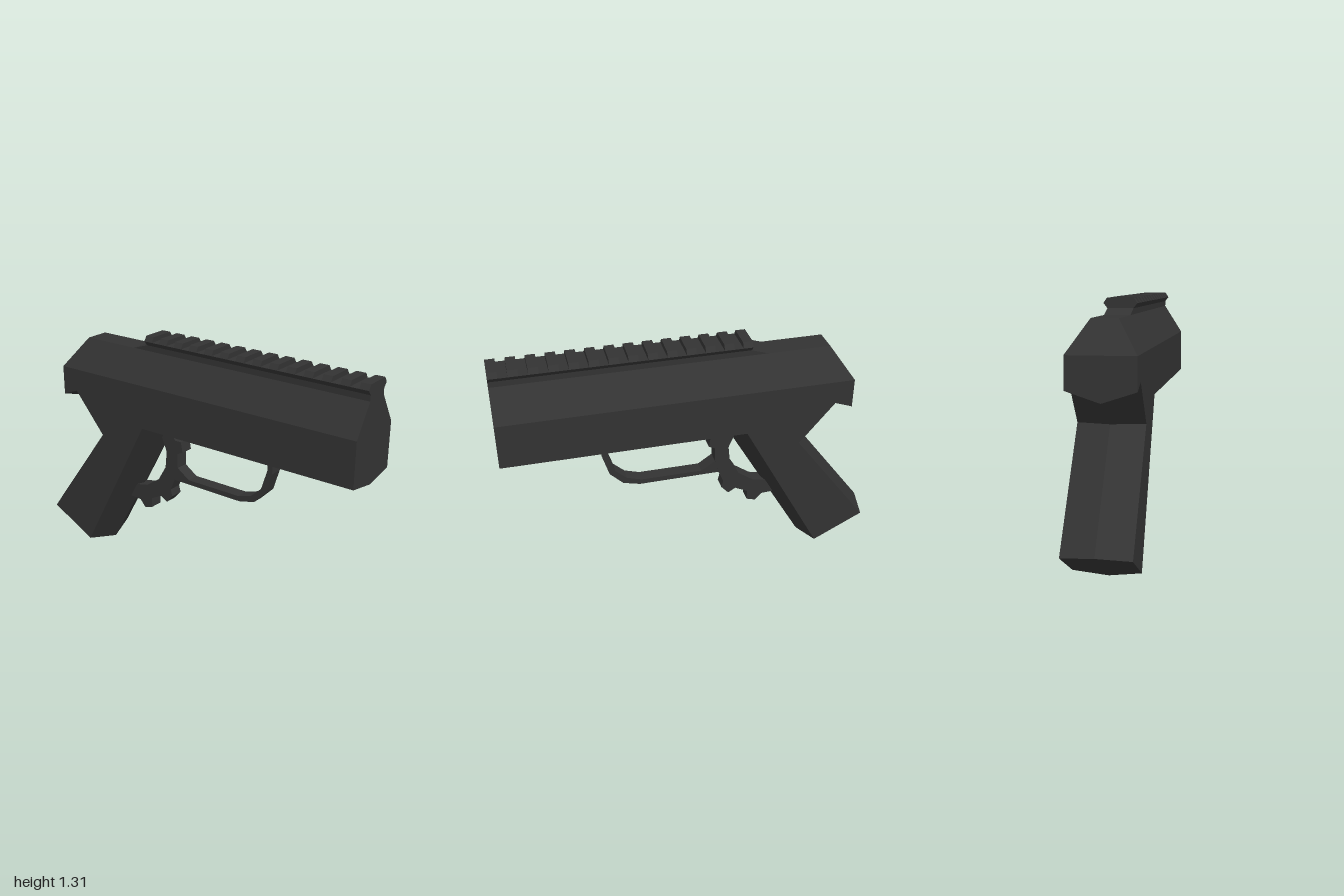
import * as THREE from 'three';

const material = new THREE.MeshStandardMaterial({ color: 0x333333, flatShading: true });

function addMesh(parent, name, geometry) {
  const mesh = new THREE.Mesh(geometry, material);
  mesh.name = name;
  parent.add(mesh);
  return mesh;
}

const toShape = pts => new THREE.Shape(pts.map(p => new THREE.Vector2(p[0], p[1])));

// Side profile (x, y) extruded to a width centred on z = 0
function slab(pts, width) {
  return new THREE.ExtrudeGeometry(toShape(pts), { depth: width, bevelEnabled: false })
    .translate(0, 0, -width / 2);
}

// Cross-section (z, y) extruded along x from x0 to x1
function bar(pts, x0, x1) {
  return new THREE.ExtrudeGeometry(toShape(pts), { depth: x1 - x0, bevelEnabled: false })
    .rotateY(Math.PI / 2).translate(x0, 0, 0);
}

// Skin between matching closed outlines at rising z, capped at both ends
function loft(layers) {
  const n = layers[0].pts.length;
  const positions = layers.flatMap(l => l.pts.flatMap(p => [p[0], p[1], l.z]));
  const index = [];
  for (let k = 0; k < layers.length - 1; k++) {
    for (let i = 0; i < n; i++) {
      const j = (i + 1) % n;
      const a = k * n + i, b = k * n + j;
      index.push(a, b, b + n, a, b + n, a + n);
    }
  }
  const end = layers.length - 1;
  const contour = layers[end].pts.map(p => new THREE.Vector2(p[0], p[1]));
  for (const [a, b, c] of THREE.ShapeUtils.triangulateShape(contour, [])) {
    index.push(c, b, a, end * n + a, end * n + b, end * n + c);
  }
  const g = new THREE.BufferGeometry();
  g.setAttribute('position', new THREE.Float32BufferAttribute(positions, 3));
  g.setIndex(index);
  const flat = g.toNonIndexed();
  flat.computeVertexNormals();
  return flat;
}

export function createModel() {
  const model = new THREE.Group();
  model.name = 'pistol';

  // Body and grip: ridge outline on the centre plane, flat outline on the sides
  const centre = [[-0.73, 1.23], [-0.84, 1.07], [-0.84, 0.855], [-0.73, 0.875], [-0.6, 0.725],
    [-1, 0.19], [-0.65, 0], [-0.19, 0.8], [1, 0.8], [1, 1.07], [1, 1.23]];
  const side = [[-0.84, 1.07], [-0.84, 1.07], [-0.84, 0.91], [-0.745, 0.945], [-0.56, 0.725],
    [-0.97, 0.175], [-0.7, 0.035], [-0.27, 0.83], [1, 0.83], [1, 1.07], [1, 1.07]];
  const topZ = 0.065, sideZ = 0.167, t = topZ / sideZ;
  const shoulder = centre.map((c, i) => (i === 0 || i === centre.length - 1)
    ? c : [c[0] + (side[i][0] - c[0]) * t, c[1] + (side[i][1] - c[1]) * t]);
  addMesh(model, 'bodyAndGrip', loft([
    { z: -sideZ, pts: side }, { z: -topZ, pts: shoulder }, { z: 0, pts: centre },
    { z: topZ, pts: shoulder }, { z: sideZ, pts: side },
  ]));

  // Toothed rail on a ramped base
  const rail = new THREE.Group();
  rail.name = 'topRail';
  model.add(rail);
  addMesh(rail, 'railBase', slab([[-0.4, 1.225], [1, 1.225], [1, 1.262], [-0.3, 1.262], [-0.4, 1.23]], 2 * topZ));
  addMesh(rail, 'railStrip', bar([[-0.065, 1.26], [0.065, 1.26], [0.085, 1.285], [-0.085, 1.285]], -0.31, 1));
  const teeth = 14, toothWidth = 0.05;
  for (let i = 0; i < teeth; i++) {
    const x = -0.31 + i * (1.31 - toothWidth) / (teeth - 1);
    addMesh(rail, 'railTooth',
      bar([[-0.085, 1.285], [0.085, 1.285], [0.067, 1.312], [-0.067, 1.312]], x, x + toothWidth));
  }

  // Curved toothed trigger piece reaching from the body to the grip
  addMesh(model, 'trigger', slab([[-0.245, 0.82], [-0.245, 0.755], [-0.21, 0.67], [-0.22, 0.575],
    [-0.27, 0.49], [-0.355, 0.43], [-0.47, 0.405], [-0.5, 0.33], [-0.41, 0.325], [-0.375, 0.285],
    [-0.325, 0.3], [-0.325, 0.355], [-0.255, 0.39], [-0.215, 0.365], [-0.175, 0.41], [-0.185, 0.45],
    [-0.155, 0.52], [-0.135, 0.595], [-0.135, 0.675], [-0.1, 0.69], [-0.11, 0.75], [-0.15, 0.75],
    [-0.19, 0.81]], 0.074));

  // Guard loop in front of the trigger
  addMesh(model, 'triggerGuard', slab([[0.475, 0.82], [0.445, 0.82], [0.445, 0.73], [0.41, 0.62],
    [0.35, 0.565], [0.27, 0.54], [-0.06, 0.54], [-0.14, 0.595], [-0.16, 0.515], [0.28, 0.512],
    [0.37, 0.535], [0.44, 0.605], [0.475, 0.72]], 0.07));

  return model;
}
